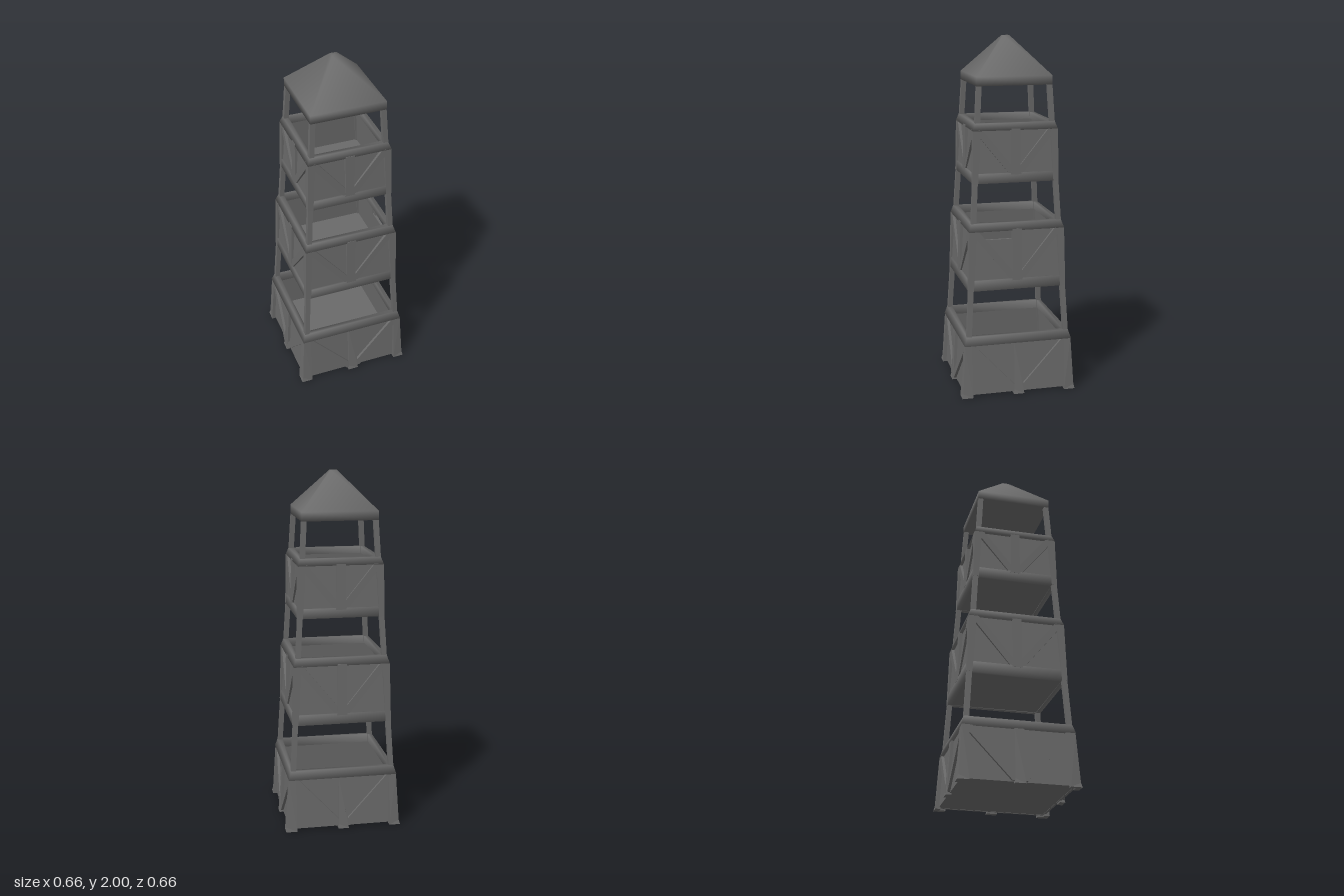
import * as THREE from 'three';

const color = 0x6a6a6a;
const flat = new THREE.MeshStandardMaterial({ color, flatShading: true, side: THREE.DoubleSide });
const smooth = new THREE.MeshStandardMaterial({ color, side: THREE.DoubleSide });

// Half width of the tapering tower at height y
const half = (y) => 0.315 - 0.0587 * y;

function add(parent, name, geometry, material = flat) {
  const mesh = new THREE.Mesh(geometry, material);
  mesh.name = name;
  parent.add(mesh);
  return mesh;
}

// Four-sided solid from a profile of [half width, y], outer side going up
function square(profile) {
  const points = profile.map(([h, y]) => new THREE.Vector2(h * Math.SQRT2, y));
  return new THREE.LatheGeometry(points, 4).rotateY(Math.PI / 4);
}

// Square rail with outward offsets d0 (bottom) and d1 (top)
function rail(y0, y1, d0, d1) {
  const inner = 0.026;
  return square([
    [half(y0) - inner, y0], [half(y0) + d0, y0], [half(y1) + d1, y1],
    [half(y1) - inner, y1], [half(y0) - inner, y0],
  ]);
}

// Closed slab following the taper
function slab(y0, y1, inset) {
  return square([[0, y0], [half(y0) - inset, y0], [half(y1) - inset, y1], [0, y1]]);
}

// Flat outline [u, y] leaned against the sloping side; front(y) is how far it stands out
function board(outline, back, front) {
  const shape = new THREE.Shape(outline.map(([u, y]) => new THREE.Vector2(u, y)));
  const geometry = new THREE.ExtrudeGeometry(shape, { depth: 1, bevelEnabled: false });
  const p = geometry.attributes.position;
  for (let i = 0; i < p.count; i++) {
    const y = p.getY(i);
    p.setZ(i, half(y) + (p.getZ(i) > 0.5 ? front(y) : back));
  }
  return geometry;
}

// bottom, top of lower rail, bottom of upper rail, top, floor height
const tiers = [
  { y0: 0, low: 0.015, high: 0.30, y1: 0.35, floor: 0.09 },
  { y0: 0.61, low: 0.67, high: 0.945, y1: 0.99, floor: 0.72 },
  { y0: 1.21, low: 1.265, high: 1.50, y1: 1.54, floor: 1.29 },
];

// Planks, uprights and braces on one side of one tier
function buildSide(tier, brokenPanel) {
  const side = new THREE.Group();
  side.name = 'tierSide';
  const { y0, low, high } = tier;
  const ground = y0 === 0;

  // Timbers flare at the ground; on upper tiers they grow out of the posts
  const proud = ground
    ? (y) => (y < 0.01 ? 0.015 : 0.01)
    : (y) => 0.001 + 0.011 * (y - y0) / (high - y0);
  const braceFront = (y) => proud(y) - 0.001;
  const plankFront = () => -0.006;

  const foot = ground ? 0 : low - 0.01;
  add(side, 'centrePost', board([
    [-0.03, foot], [0.03, foot], [0.026, foot + 0.025],
    [0.026, high + 0.008], [-0.026, high + 0.008], [-0.026, foot + 0.025],
  ], -0.015, proud));

  for (const s of [-1, 1]) {
    // Wall planks below and above the brace; a slipped one leaves a gap under the rail
    const broken = brokenPanel && s < 0;
    const rise = high + 0.01 - low;
    const edge = s * (half(high) - 0.01);
    const t = broken ? 0.79 : 1;
    const a = [0, low - 0.005];
    add(side, 'lowerPlank', board([
      a, [s * (half(low) - 0.01), low - 0.005], [edge, high + 0.01],
    ], -0.02, plankFront));
    add(side, 'upperPlank', board([
      a, [edge * t, low + rise * t], [0, low + rise * t],
    ], -0.02, plankFront));

    // Corner board
    const width = ground ? 0.048 : 0.03;
    const outer = (y) => s * (half(y) + proud(y));
    add(side, 'cornerBoard', board([
      [s * (half(y0) - width), y0], [outer(y0), y0], [outer(y0 + 0.025), y0 + 0.025],
      [outer(high), high], [s * (half(high) - 0.03), high],
    ], -0.015, proud));

    // Diagonal brace from the foot of the centre post to the upper corner
    const top = half(high) - 0.018;
    add(side, 'diagonalBrace', board([
      [s * 0.014, low], [s * 0.042, low],
      [s * top, high - 0.028], [s * top, high + 0.004], [s * (top - 0.022), high + 0.004],
      [s * 0.014, low + 0.028],
    ], -0.02, braceFront));
  }
  return side;
}

export function createModel() {
  const tower = new THREE.Group();
  tower.name = 'watchtower';

  // Leaning corner posts, running up to the roof
  for (let k = 0; k < 4; k++) {
    const t = 0.028;
    const geometry = new THREE.BoxGeometry(t, 1.74, t).translate(0, 0.885, 0);
    const p = geometry.attributes.position;
    for (let i = 0; i < p.count; i++) {
      const shift = half(p.getY(i)) - t / 2;
      p.setXYZ(i, p.getX(i) + shift, p.getY(i), p.getZ(i) + shift);
    }
    add(tower, 'cornerPost', geometry).rotation.y = k * Math.PI / 2;
  }

  // Three boarded tiers
  tiers.forEach((tier, n) => {
    const group = new THREE.Group();
    group.name = 'tier';
    add(group, 'floor', slab(n === 0 ? 0.012 : tier.y0 + 0.003, tier.floor, 0.018));
    if (n > 0) add(group, 'lowerRail', rail(tier.y0, tier.low, 0, 0.002), smooth);
    add(group, 'upperRail', rail(tier.high, tier.y1, 0.012, 0), smooth);
    for (let k = 0; k < 4; k++) {
      const side = buildSide(tier, n === 1 && k === 1);
      side.rotation.y = k * Math.PI / 2;
      group.add(side);
    }
    tower.add(group);
  });

  // Pyramid roof with a fascia and a small flat tip
  add(tower, 'roof', square([
    [0, 1.74], [0.213, 1.74], [0.213, 1.79], [0.018, 2], [0, 2],
  ]), smooth);

  return tower;
}
